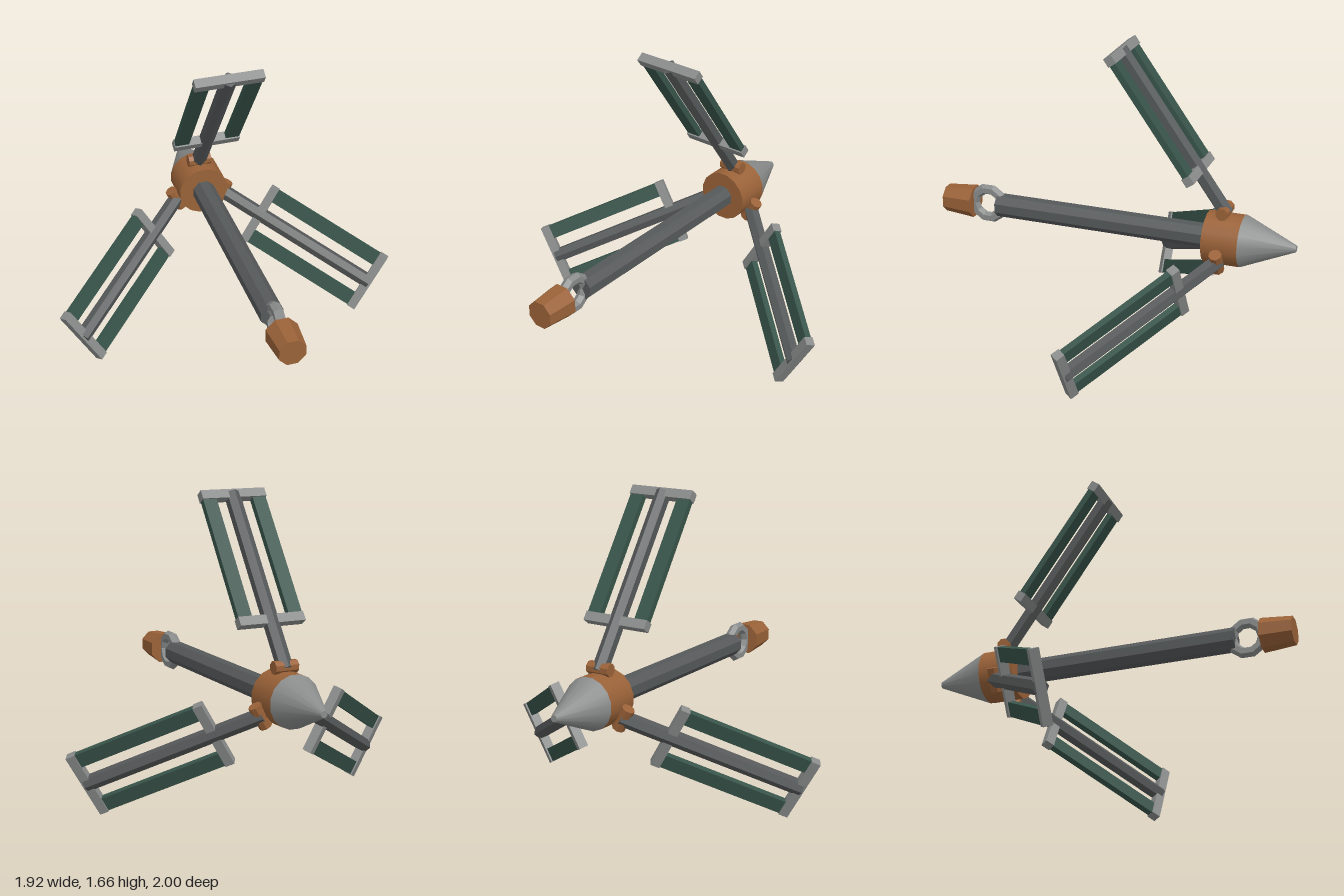
import * as THREE from 'three';

const flat = (name, color) => {
  const m = new THREE.MeshStandardMaterial({ color });
  m.name = name;
  return m;
};

export function createModel() {
  const copper = flat('copper', 0x9a6238);
  const steel = flat('steel', 0x8a8c8c);
  const iron = flat('dark iron', 0x56595a);
  const green = flat('dark green', 0x38544a);

  const model = new THREE.Group();
  model.name = 'grapnelBolt';
  const axis = new THREE.Group();
  axis.name = 'body';
  axis.position.y = 0.665;
  model.add(axis);

  const add = (parent, name, geometry, material, x = 0, y = 0, z = 0) => {
    const mesh = new THREE.Mesh(geometry, material);
    mesh.name = name;
    mesh.position.set(x, y, z);
    parent.add(mesh);
    return mesh;
  };

  // Prism or frustum along z, flat faces turned to the sides when faceted
  const alongZ = (name, rBack, rFront, zBack, zFront, sides, material, faceted) => {
    let g = new THREE.CylinderGeometry(rFront, rBack, zFront - zBack, sides);
    g.rotateY(Math.PI / sides).rotateX(Math.PI / 2);
    if (faceted) {
      g = g.toNonIndexed();
      g.computeVertexNormals();
    }
    return add(axis, name, g, material, 0, 0, (zBack + zFront) / 2);
  };

  // Central column
  alongZ('noseCone', 0.018, 0.141, -1, -0.715, 16, steel, false);
  alongZ('hub', 0.141, 0.141, -0.715, -0.52, 16, copper, false);
  alongZ('shaft', 0.065, 0.065, -0.53, 0.69, 8, iron, true);
  alongZ('endPlug', 0.091, 0.076, 0.83, 1, 8, copper, true);

  // Eye ring between shaft and plug
  let ring = new THREE.TorusGeometry(0.085, 0.03, 6, 10).toNonIndexed();
  ring.rotateY(Math.PI / 2);
  ring.computeVertexNormals();
  add(axis, 'eyeRing', ring, steel, 0, 0, 0.75);

  // Three hinged arms, each with a framed pair of panels
  const facet = (r, length, sides) => {
    const g = new THREE.CylinderGeometry(r, r, length, sides).toNonIndexed();
    g.computeVertexNormals();
    return g;
  };
  const hingeGeo = facet(0.035, 0.13, 8).rotateY(Math.PI / 8).rotateZ(Math.PI / 2);
  const armGeo = facet(0.042, 1.02, 6);
  const barGeo = new THREE.BoxGeometry(0.372, 0.05, 0.05);
  const panelGeo = new THREE.BoxGeometry(0.078, 0.69, 0.034);
  const inner = 0.259, outer = 0.991;

  for (let i = 0; i < 3; i++) {
    const spoke = new THREE.Group();
    spoke.name = 'spoke' + (i + 1);
    spoke.rotation.z = (i * Math.PI * 2) / 3;
    axis.add(spoke);

    const arm = new THREE.Group();
    arm.name = 'foldingArm';
    arm.position.set(0, 0.159, -0.61);
    arm.rotation.x = 0.618;
    spoke.add(arm);

    add(spoke, 'hinge', hingeGeo, copper, 0, 0.159, -0.61);
    add(arm, 'armRod', armGeo, iron, 0, 0.493, 0);
    add(arm, 'innerCrossbar', barGeo, steel, 0, inner, 0);
    add(arm, 'outerCrossbar', barGeo, steel, 0, outer, 0);
    for (const s of [-1, 1])
      add(arm, s > 0 ? 'leftPanel' : 'rightPanel', panelGeo, green, s * 0.144, (inner + outer) / 2, 0);
  }
  return model;
}
